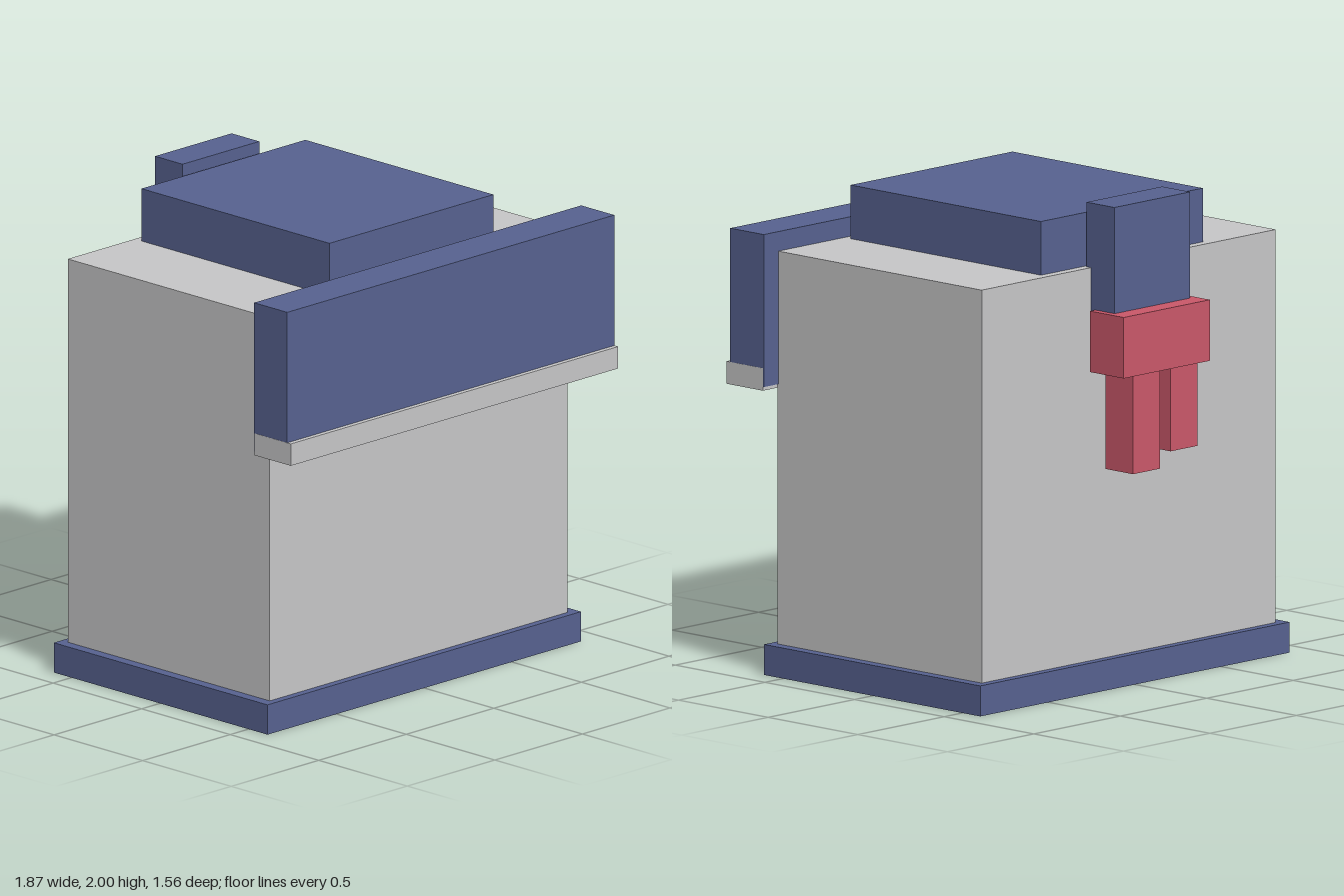
import * as THREE from 'three';

export function createModel() {
  const model = new THREE.Group();
  const mat = (name, color) => {
    const m = new THREE.MeshStandardMaterial({ color });
    m.name = name;
    return m;
  };
  const grey = mat('light grey', 0xc6c6c7);
  const blue = mat('slate blue', 0x56618f);
  const red = mat('red', 0xc95769);

  // Adds a box from its min/max extents on each axis
  const box = (name, material, [x0, x1], [y0, y1], [z0, z1]) => {
    const mesh = new THREE.Mesh(new THREE.BoxGeometry(x1 - x0, y1 - y0, z1 - z0), material);
    mesh.position.set((x0 + x1) / 2, (y0 + y1) / 2, (z0 + z1) / 2);
    mesh.name = name;
    model.add(mesh);
  };

  // Main block on its plinth, with a raised lid
  box('base', blue, [-0.895, 0.895], [0, 0.125], [-0.6, 0.607]);
  box('body', grey, [-0.85, 0.85], [0.125, 1.735], [-0.565, 0.575]);
  box('lid', blue, [-0.468, 0.468], [1.735, 1.955], [-0.527, 0.535]);

  // Overhanging front panel with its trim, a hair wider so the ends stay clean
  box('frontPanel', blue, [-0.934, 0.934], [1.19, 1.815], [0.57, 0.757]);
  box('frontTrim', grey, [-0.935, 0.935], [1.175, 1.267], [0.574, 0.778]);

  // Rear bracket with a clasp and two uneven prongs
  box('rearBracket', blue, [-0.219, 0.219], [1.38, 2], [-0.697, -0.541]);
  box('clasp', red, [-0.249, 0.249], [1.315, 1.565], [-0.777, -0.59]);
  box('rightProng', red, [-0.195, -0.04], [0.972, 1.315], [-0.76, -0.605]);
  box('leftProng', red, [0.022, 0.177], [0.91, 1.315], [-0.76, -0.605]);

  return model;
}
